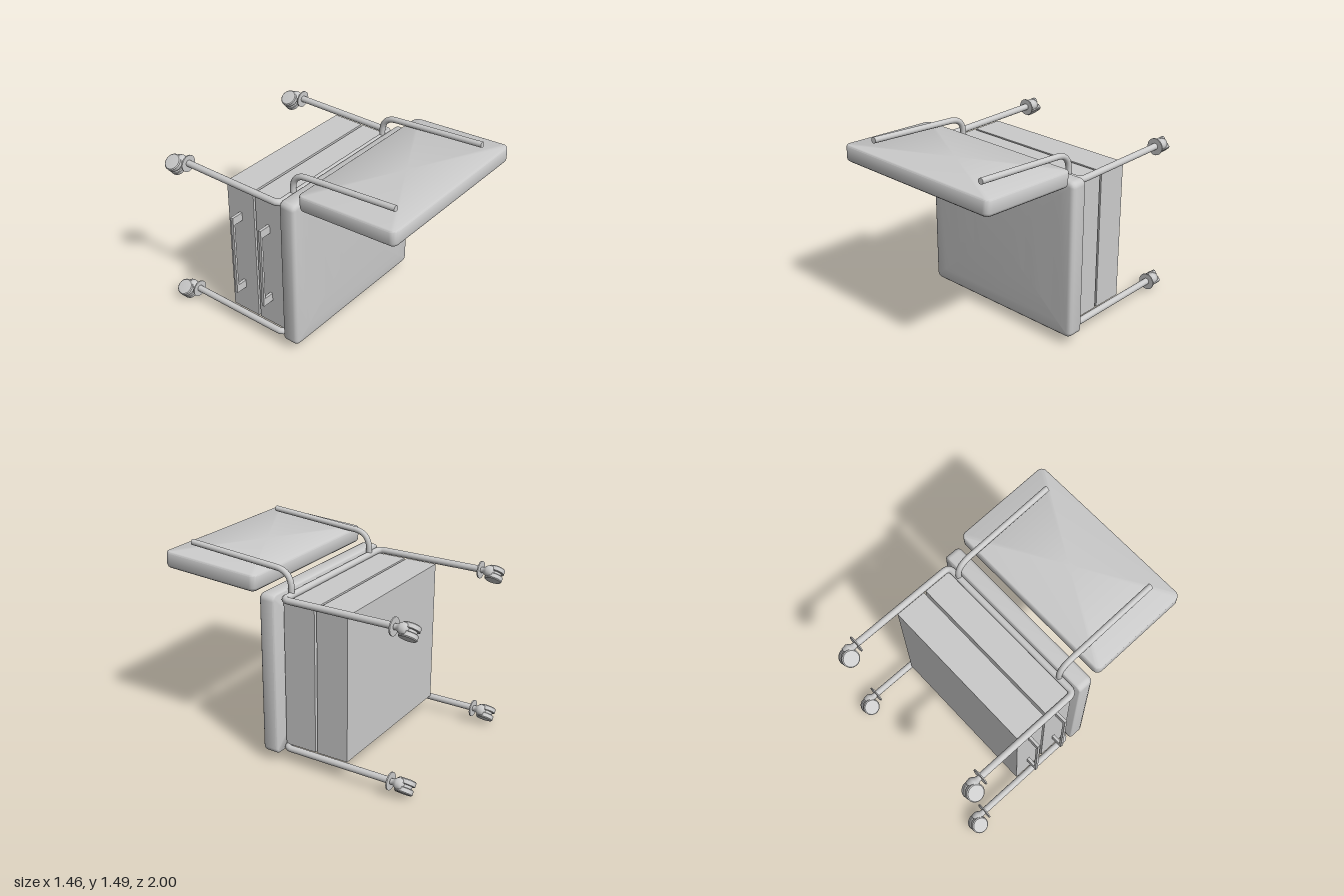
import * as THREE from 'three';
import { toCreasedNormals } from 'three/addons/utils/BufferGeometryUtils.js';

const material = new THREE.MeshStandardMaterial({ color: 0xcccccc });
const doubleSided = new THREE.MeshStandardMaterial({ color: 0xcccccc, side: THREE.DoubleSide });
const V = (x, y, z) => new THREE.Vector3(x, y, z);

function add(parent, name, geometry, x = 0, y = 0, z = 0, mat = material) {
  const mesh = new THREE.Mesh(geometry, mat);
  mesh.name = name;
  mesh.position.set(x, y, z);
  parent.add(mesh);
  return mesh;
}

// Bent pipe through corner points, each corner rounded by the bend length
function pipe(points, bend, radius) {
  const path = new THREE.CurvePath();
  let from = points[0];
  for (let i = 1; i < points.length - 1; i++) {
    const p = points[i];
    const a = p.clone().add(points[i - 1].clone().sub(p).setLength(bend));
    const b = p.clone().add(points[i + 1].clone().sub(p).setLength(bend));
    path.add(new THREE.LineCurve3(from, a));
    path.add(new THREE.QuadraticBezierCurve3(a, p, b));
    from = b;
  }
  path.add(new THREE.LineCurve3(from, points[points.length - 1]));
  return new THREE.TubeGeometry(path, 160, radius, 16);
}

// Upholstered pad in the xy plane: rounded-rectangle loops, domed on +z
function cushion(w, h, depth, dome) {
  const d = depth / 2, steps = 6, n = 4 * (steps + 1);
  const loops = [[0.5, -d], [0.012, -d], [0.004, -d + 0.004], [0, -d + 0.012],
    [0, d - 0.03], [0.006, d - 0.013], [0.018, d - 0.003], [0.035, d]];
  for (let i = 1; i <= 8; i++) {
    const t = i / 8;
    loops.push([0.035 + t * 0.465, d + dome * (1 - (1 - t) ** 2)]);
  }
  const pos = [], index = [];
  for (const [inset, z] of loops) {
    // Wide insets shrink in proportion so that the loop closes at the centre
    const small = Math.min(inset, 0.035);
    const k = inset >= 0.035 ? (0.5 - inset) / 0.465 : 1;
    const r = 0.045 - small;
    for (let c = 0; c < 4; c++) {
      const sx = c === 0 || c === 3 ? 1 : -1, sy = c < 2 ? 1 : -1;
      for (let s = 0; s <= steps; s++) {
        const a = (c + s / steps) * Math.PI / 2;
        pos.push(k * (sx * (w / 2 - small - r) + r * Math.cos(a)),
          k * (sy * (h / 2 - small - r) + r * Math.sin(a)), z);
      }
    }
  }
  for (let l = 0; l < loops.length - 1; l++) {
    for (let i = 0; i < n; i++) {
      const a = l * n + i, b = l * n + (i + 1) % n;
      index.push(a, b, b + n, a, b + n, a + n);
    }
  }
  const g = new THREE.BufferGeometry();
  g.setAttribute('position', new THREE.Float32BufferAttribute(pos, 3));
  g.setIndex(index);
  return toCreasedNormals(g, 0.7);
}

// Swivel caster, its stem pointing along -z from the end of a leg
function makeCaster() {
  const caster = new THREE.Group();
  caster.name = 'caster';
  add(caster, 'collar', new THREE.CylinderGeometry(0.064, 0.064, 0.009, 32).rotateX(Math.PI / 2), 0, 0, -0.838);
  const neck = [[0, 0], [0.023, 0], [0.021, 0.015], [0.024, 0.03], [0.035, 0.045], [0.045, 0.065], [0.04, 0.1], [0, 0.11]]
    .map(([r, y]) => new THREE.Vector2(r, y));
  add(caster, 'neck', new THREE.LatheGeometry(neck, 24).rotateX(-Math.PI / 2), 0, 0, -0.835);

  // Twin wheels trail behind the stem, turned diagonally
  const wheels = new THREE.Group();
  wheels.name = 'twinWheels';
  wheels.position.set(-0.033, -0.028, -0.934);
  wheels.rotation.z = Math.atan2(0.64, 0.77);
  const half = [[0, 0.01], [0.06, 0.01], [0.065, 0.014], [0.065, 0.043], [0.058, 0.05], [0.047, 0.051], [0, 0.051]]
    .map(([r, y]) => new THREE.Vector2(r, y));
  for (const flip of [0, Math.PI]) {
    add(wheels, 'wheel', toCreasedNormals(new THREE.LatheGeometry(half, 32), 0.6)).rotation.x = flip;
  }
  add(wheels, 'hub', new THREE.CylinderGeometry(0.048, 0.048, 0.03, 24));
  caster.add(wheels);
  return caster;
}

export function createModel() {
  const model = new THREE.Group();
  model.name = 'tippedRollingChair';
  const left = 0.66, right = -0.62, centre = 0.041;
  const legRows = [0.116, 1.245];

  // Seat pad and tilted backrest
  add(model, 'seat', cushion(1.38, 1.21, 0.126, 0.013), centre, 0.681, 0.113);
  add(model, 'backrest', cushion(1.38, 0.79, 0.125, 0.013), centre, 1.355, 0.602)
    .rotation.x = Math.PI / 2 - THREE.MathUtils.degToRad(3);

  // U-shaped leg frames, each ending in two casters
  for (const y of legRows) {
    add(model, 'legFrame', pipe([V(left, y, -0.836), V(left, y, 0.02),
      V(right, y, 0.02), V(right, y, -0.836)], 0.045, 0.025), 0, 0, 0, doubleSided);
    for (const x of [left, right]) {
      const caster = makeCaster();
      caster.position.set(x, y - 0.003, 0);
      model.add(caster);
    }
  }

  // Bent arms that carry the backrest, with closed tips
  for (const x of [-0.471, 0.556]) {
    const tip = V(x, 1.478, 0.876);
    add(model, 'backrestArm', pipe([V(x, 1.24, 0.023), V(x, 1.415, 0.023), tip], 0.125, 0.022), 0, 0, 0, doubleSided);
    add(model, 'armTip', new THREE.CircleGeometry(0.022, 16), tip.x, tip.y, tip.z).rotation.x = -0.075;
  }

  // Two drawers with bar handles on the right side
  for (const [z0, z1, handleZ] of [[-0.218, 0.03, -0.103], [-0.48, -0.236, -0.363]]) {
    add(model, 'drawer', new THREE.BoxGeometry(1.236, 1.09, z1 - z0), 0.022, 0.681, (z0 + z1) / 2);
    const handle = new THREE.Group();
    handle.name = 'drawerHandle';
    handle.position.set(0, 0.676, handleZ);
    add(handle, 'bar', new THREE.BoxGeometry(0.018, 0.66, 0.022), -0.682);
    for (const s of [-1, 1]) {
      add(handle, 'post', new THREE.BoxGeometry(0.096, 0.064, 0.022), -0.643, s * 0.298);
    }
    model.add(handle);
  }
  return model;
}
